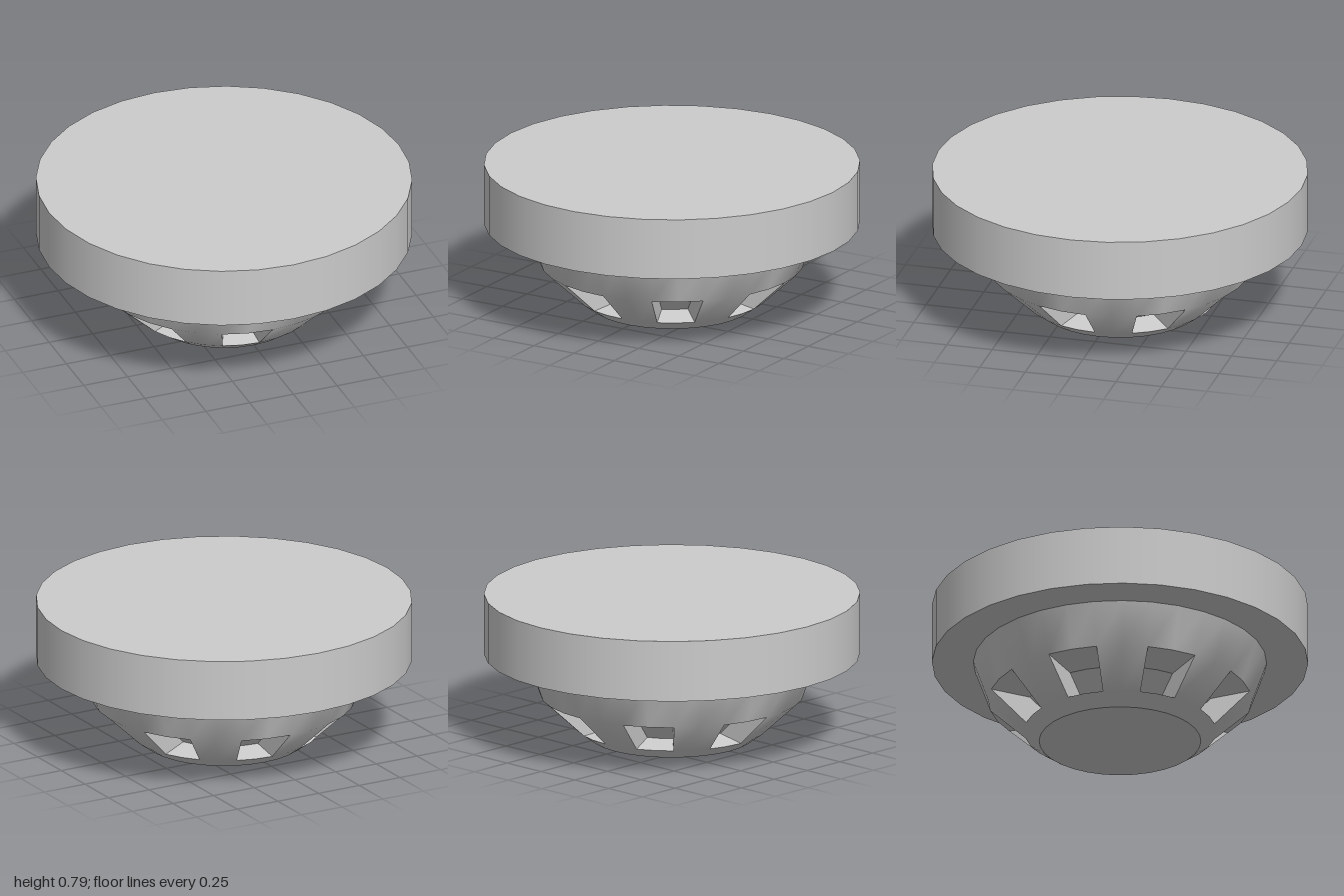
import * as THREE from 'three';
import { toCreasedNormals } from 'three/addons/utils/BufferGeometryUtils.js';

const SEGMENTS = 32;
const STEP = (Math.PI * 2) / SEGMENTS;

// Dome profile from bottom to top: [radius, height]
const PROFILE = [[0.43, 0], [0.51, 0.058], [0.7, 0.235], [0.78, 0.46]];
const VENT_BAND = 1;
const VENT_SCALE = 0.7;

const point = ([r, y], i) => [r * Math.sin(i * STEP), y, r * Math.cos(i * STEP)];

// Collects quads and turns them into a smooth geometry with sharp creases
function quadBuilder() {
  const positions = [];
  return {
    quad(a, b, c, d) {
      positions.push(...a, ...b, ...c, ...a, ...c, ...d);
    },
    build() {
      const geometry = new THREE.BufferGeometry();
      geometry.setAttribute('position', new THREE.Float32BufferAttribute(positions, 3));
      return toCreasedNormals(geometry, THREE.MathUtils.degToRad(30));
    },
  };
}

// A vent covers two of every four segments
const isVent = (i) => i % 4 >= 2;

function domeGeometry() {
  const { quad, build } = quadBuilder();
  for (let band = 0; band < PROFILE.length - 1; band++) {
    const low = PROFILE[band], high = PROFILE[band + 1];
    for (let i = 0; i < SEGMENTS; i++) {
      if (band === VENT_BAND && isVent(i)) continue;
      quad(point(low, i), point(low, i + 1), point(high, i + 1), point(high, i));
    }
  }
  return build();
}

// Tapered pocket running from segment line 0 to 2
function ventGeometry() {
  const { quad, build } = quadBuilder();
  const low = PROFILE[VENT_BAND], high = PROFILE[VENT_BAND + 1];
  const middle = (low[1] + high[1]) / 2;
  const inset = ([r, y]) => [r * VENT_SCALE, middle + (y - middle) * VENT_SCALE];
  const innerLow = inset(low), innerHigh = inset(high);
  for (let i = 0; i < 2; i++) {
    const j = i + 1;
    // floor, ceiling, back wall
    quad(point(low, i), point(low, j), point(innerLow, j), point(innerLow, i));
    quad(point(high, j), point(high, i), point(innerHigh, i), point(innerHigh, j));
    quad(point(innerLow, i), point(innerLow, j), point(innerHigh, j), point(innerHigh, i));
  }
  // side walls
  quad(point(low, 0), point(innerLow, 0), point(innerHigh, 0), point(high, 0));
  quad(point(high, 2), point(innerHigh, 2), point(innerLow, 2), point(low, 2));
  return build();
}

export function createModel() {
  const group = new THREE.Group();
  const material = new THREE.MeshStandardMaterial({ color: 0xcccccc });
  const add = (name, geometry) => {
    const mesh = new THREE.Mesh(geometry, material);
    mesh.name = name;
    group.add(mesh);
    return mesh;
  };

  // Wide mounting disc
  add('mountingBase', new THREE.CylinderGeometry(1, 1, 0.33, SEGMENTS)).position.y = 0.625;

  // Tapered housing with its flat end
  add('domeHousing', domeGeometry());
  add('domeEndCap', new THREE.CircleGeometry(PROFILE[0][0], SEGMENTS)).rotation.x = Math.PI / 2;

  // Ring of recessed vents
  const vent = ventGeometry();
  for (let k = 0; k < SEGMENTS / 4; k++) {
    add('vent', vent).rotation.y = (k * 4 + 2) * STEP;
  }

  return group;
}
